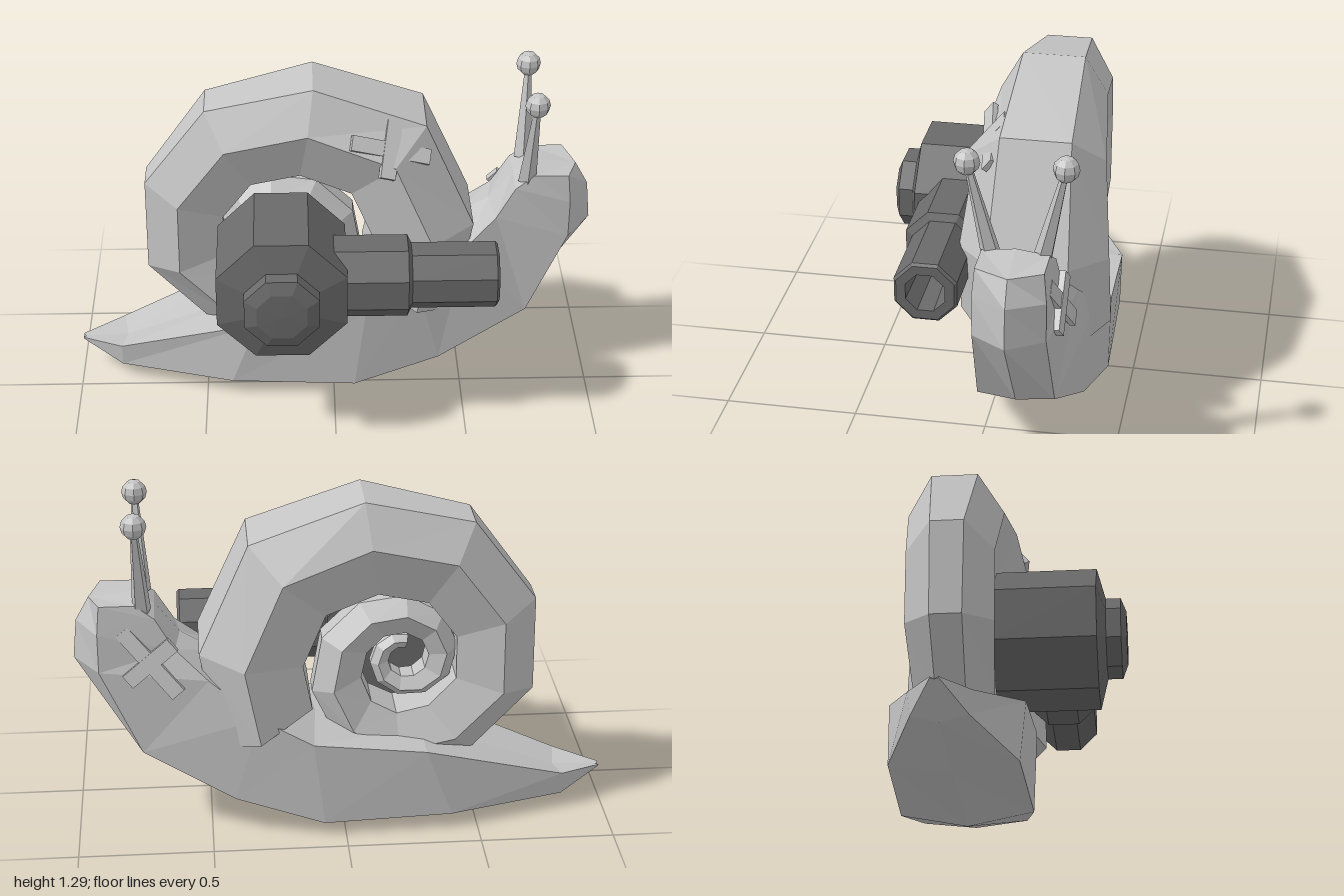
import * as THREE from 'three';

const MID = -0.16; // depth of the snail's own centre plane
const light = new THREE.MeshStandardMaterial({ color: 0xc4c4c4 });
light.name = 'pale grey';
const dark = new THREE.MeshStandardMaterial({ color: 0x6a6a6a });
dark.name = 'dark grey';

// Facet a geometry so every face has its own flat normal
function facet(geo) {
  const g = geo.index ? geo.toNonIndexed() : geo;
  g.computeVertexNormals();
  return g;
}

function part(name, geo, material) {
  const mesh = new THREE.Mesh(facet(geo), material);
  mesh.name = name;
  return mesh;
}

// Closed skin through rings of equal length, ends capped; wound outward by volume sign
function loft(rings) {
  const n = rings[0].length;
  const tris = [];
  for (let i = 0; i + 1 < rings.length; i++) {
    for (let j = 0; j < n; j++) {
      const k = (j + 1) % n;
      const [a, b, c, d] = [rings[i][j], rings[i][k], rings[i + 1][k], rings[i + 1][j]];
      tris.push([a, b, c], [a, c, d]);
    }
  }
  const first = rings[0], last = rings[rings.length - 1];
  for (let j = 1; j + 1 < n; j++) {
    tris.push([first[0], first[j + 1], first[j]], [last[0], last[j], last[j + 1]]);
  }
  const cross = new THREE.Vector3();
  const volume = tris.reduce((s, [a, b, c]) => s + a.dot(cross.crossVectors(b, c)), 0);
  const points = tris.flatMap(([a, b, c]) => (volume > 0 ? [a, b, c] : [a, c, b]));
  return new THREE.BufferGeometry().setFromPoints(points);
}

// Body: each section is keel(x,y), lower edge(x,y,half width), upper edge(x,y,half width), top(x,y)
function bodyGeometry() {
  const sections = [
    [-1.0, 0.115, -1.0, 0.12, 0.015, -1.0, 0.125, 0.015, -0.99, 0.122],
    [-0.85, 0.025, -0.84, 0.055, 0.1, -0.84, 0.145, 0.11, -0.82, 0.13],
    [-0.4, 0.015, -0.4, 0.06, 0.235, -0.3, 0.335, 0.25, -0.3, 0.32],
    [0.08, 0, 0.08, 0.05, 0.25, 0.12, 0.385, 0.26, 0.1, 0.4],
    [0.42, 0.12, 0.41, 0.14, 0.2, 0.32, 0.49, 0.235, 0.3, 0.54],
    [0.76, 0.31, 0.75, 0.32, 0.14, 0.5, 0.63, 0.185, 0.47, 0.67],
    [0.995, 0.66, 0.9, 0.65, 0.13, 0.62, 0.74, 0.14, 0.6, 0.75],
    [0.98, 0.81, 0.9, 0.8, 0.13, 0.69, 0.86, 0.13, 0.69, 0.87],
    [0.93, 0.9, 0.89, 0.91, 0.12, 0.76, 0.91, 0.12, 0.75, 0.92],
  ];
  return loft(sections.map(([kx, ky, lx, ly, lw, ux, uy, uw, tx, ty]) => [
    new THREE.Vector3(kx, ky, MID),
    new THREE.Vector3(lx, ly, MID + lw),
    new THREE.Vector3(ux, uy, MID + uw),
    new THREE.Vector3(tx, ty, MID),
    new THREE.Vector3(ux, uy, MID - uw),
    new THREE.Vector3(lx, ly, MID - lw),
  ]));
}

// Shell: a six-sided tube coiling inward in nearly one plane, its rim narrowing behind the mouth
function shellGeometry() {
  const radii = [0.69, 0.71, 0.73, 0.67, 0.645, 0.6, 0.565, 0.49];
  const widths = [0.41, 0.39, 0.33, 0.3, 0.28, 0.27];
  const rings = [];
  for (let k = 0; k < 24; k++) {
    const angle = THREE.MathUtils.degToRad(k ? -29 + 37 * k : -24);
    const r = k < 8 ? radii[k] : radii[7] * Math.pow(0.9, k - 7);
    const w = r * (widths[k] ?? 0.27 + 0.015 * Math.min(k - 5, 10));
    const rim = k < 3 ? 0.54 : Math.max(0.58 - 0.1 * (k - 3), 0.36);
    const centre = -0.17 - 0.06 * THREE.MathUtils.smoothstep(k, 6, 11);
    const profile = [[1, rim], [0.77, 1], [0.46, 0.6], [0.46, -0.6], [0.77, -1], [1, -rim]];
    rings.push(profile.map(([u, v]) => new THREE.Vector3(
      centre + Math.cos(angle) * r * u,
      0.62 + Math.sin(angle) * r * u,
      MID + w * v,
    )));
  }
  return loft(rings);
}

// Turned part from [radius, height] pairs
function turned(profile, sides, phase = 0) {
  return new THREE.LatheGeometry(profile.map(([r, h]) => new THREE.Vector2(r, h)), sides, phase);
}

// Crossed sticking plaster facing along a normal
function plaster(name, position, normal, roll) {
  const group = new THREE.Group();
  group.name = name;
  [[0.31, 0], [0.22, Math.PI / 2]].forEach(([length, turn], i) => {
    const strip = part('plasterStrip', new THREE.BoxGeometry(length, 0.058, 0.022 + i * 0.006), light);
    strip.rotation.z = turn + roll;
    group.add(strip);
  });
  group.position.set(...position);
  group.lookAt(group.position.clone().add(new THREE.Vector3(...normal)));
  return group;
}

export function createModel() {
  const snail = new THREE.Group();
  snail.name = 'cannonSnail';
  snail.add(part('body', bodyGeometry(), light), part('shell', shellGeometry(), light));

  // Eye stalks, leaning outward
  for (const side of [1, -1]) {
    const base = new THREE.Vector3(0.735, 0.88, MID + side * 0.09);
    const tip = new THREE.Vector3(0.75, 1.24, MID + side * 0.17);
    const stalk = part('eyeStalk', new THREE.CylinderGeometry(0.012, 0.036, base.distanceTo(tip), 5), light);
    stalk.position.copy(base).lerp(tip, 0.5);
    stalk.quaternion.setFromUnitVectors(new THREE.Vector3(0, 1, 0), tip.clone().sub(base).normalize());
    const eye = part('eye', new THREE.SphereGeometry(0.047, 8, 6), light);
    eye.position.copy(tip);
    snail.add(stalk, eye);
  }

  // Cannon drum on the shell's side, with a stepped cap
  const drum = part('cannonDrum', turned(
    [[0, -0.02], [0.262, -0.02], [0.262, 0.355], [0.15, 0.385], [0.15, 0.44], [0.1, 0.46], [0, 0.463]],
    8, Math.PI / 8).rotateX(Math.PI / 2), dark);
  drum.position.set(-0.2, 0.62, 0);

  // Stepped barrel with an open bore
  const barrel = part('cannonBarrel', turned(
    [[0, -0.05], [0.155, -0.05], [0.155, 0.27], [0.125, 0.285], [0.125, 0.6], [0.115, 0.61],
      [0.078, 0.61], [0.07, 0.32], [0, 0.32]],
    8, Math.PI / 8).rotateZ(-Math.PI / 2), dark);
  barrel.position.set(0, 0.625, 0.195);
  snail.add(drum, barrel);

  snail.add(
    plaster('shellPlaster', [0.21, 1.07, 0.03], [0.28, 0.55, 0.78], -0.35),
    plaster('neckPlaster', [0.71, 0.695, -0.312], [0.12, 0.16, -1], -0.85),
  );
  return snail;
}
